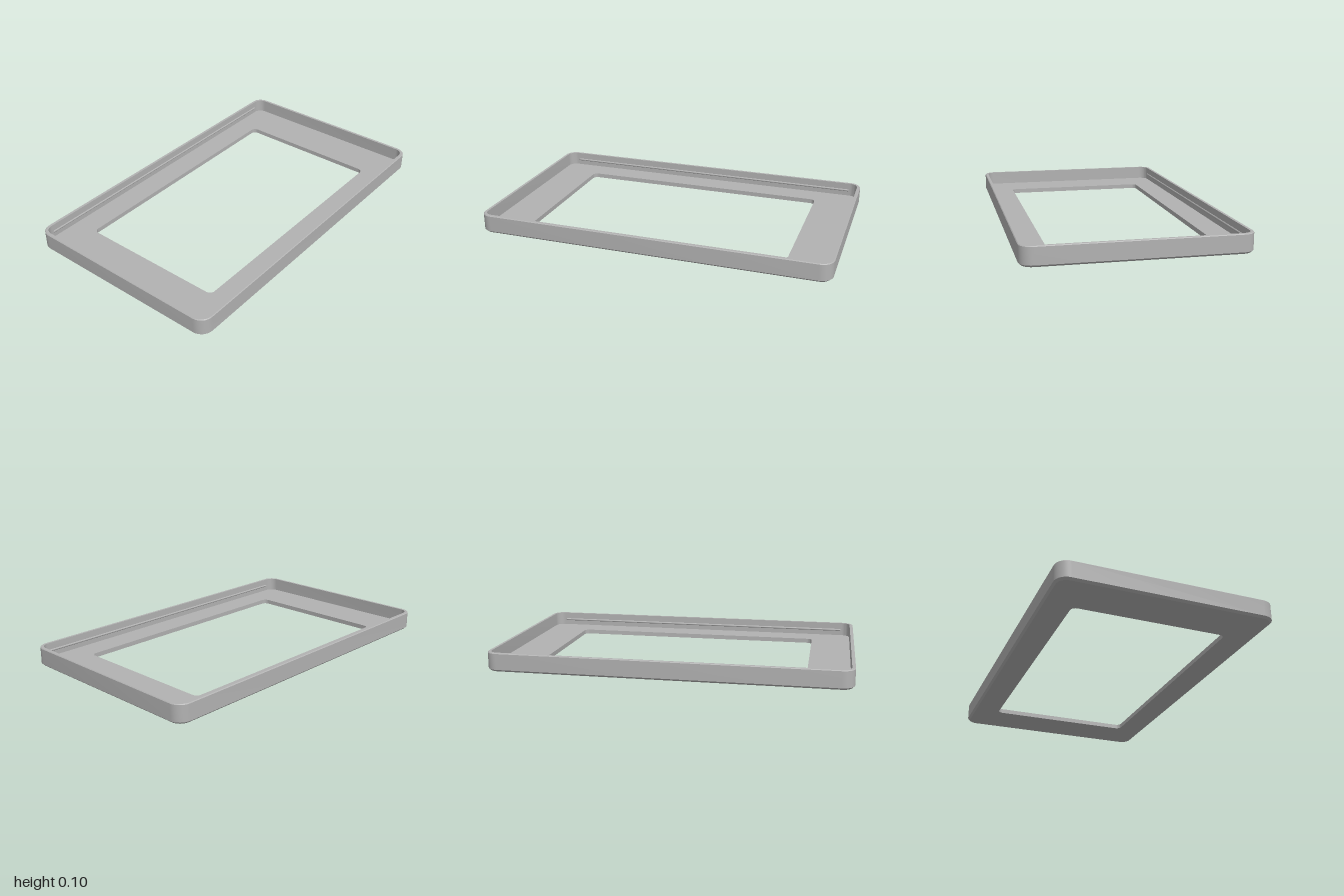
import * as THREE from 'three';
import { toCreasedNormals } from 'three/addons/utils/BufferGeometryUtils.js';

const CORNER_STEPS = 8;

// Rounded rectangle ring at height y, listed counter-clockwise from +x to +z
function ring({ w, d, r, y, cx = 0, cz = 0 }) {
  const points = [];
  [[1, 1], [-1, 1], [-1, -1], [1, -1]].forEach(([sx, sz], corner) => {
    for (let i = 0; i <= CORNER_STEPS; i++) {
      const a = (corner + i / CORNER_STEPS) * Math.PI / 2;
      points.push([cx + sx * (w - r) + r * Math.cos(a), y, cz + sz * (d - r) + r * Math.sin(a)]);
    }
  });
  return points;
}

// Skin between successive rings
function loft(sections) {
  const rings = sections.map(ring);
  const n = rings[0].length;
  const index = [];
  for (let i = 0; i < rings.length - 1; i++) {
    for (let j = 0; j < n; j++) {
      const a = i * n + j, b = i * n + (j + 1) % n;
      index.push(a, a + n, b + n, a, b + n, b);
    }
  }
  const geometry = new THREE.BufferGeometry();
  geometry.setAttribute('position', new THREE.Float32BufferAttribute(rings.flat(2), 3));
  geometry.setIndex(index);
  return toCreasedNormals(geometry, Math.PI / 6);
}

export function createModel() {
  const model = new THREE.Group();
  model.name = 'bezelTray';
  const grey = new THREE.MeshStandardMaterial({ color: 0xb2b2b2 });
  grey.name = 'grey';

  // Tray: underside, chamfer, outer wall, rim, inner wall, floor and window opening
  const opening = { w: 0.745, d: 0.43, r: 0.03, cx: -0.004, cz: -0.004 };
  const frame = new THREE.Mesh(loft([
    { ...opening, y: 0 },
    { w: 0.988, d: 0.579, r: 0.056, y: 0 },
    { w: 1, d: 0.591, r: 0.068, y: 0.011 },
    { w: 1, d: 0.591, r: 0.068, y: 0.101 },
    { w: 0.996, d: 0.587, r: 0.064, y: 0.105 },
    { w: 0.981, d: 0.572, r: 0.049, y: 0.105 },
    { w: 0.981, d: 0.572, r: 0.049, y: 0.026 },
    { ...opening, y: 0.026 },
    { ...opening, y: 0 },
  ]), grey);
  frame.name = 'frame';
  model.add(frame);

  // Snap beads along the inside of the long walls
  for (const side of [1, -1]) {
    const bead = new THREE.Mesh(new THREE.CapsuleGeometry(0.007, 1.84, 4, 12), grey);
    bead.name = side > 0 ? 'frontSnapBead' : 'backSnapBead';
    bead.rotation.z = Math.PI / 2;
    bead.position.set(0, 0.06, side * 0.574);
    model.add(bead);
  }
  return model;
}
